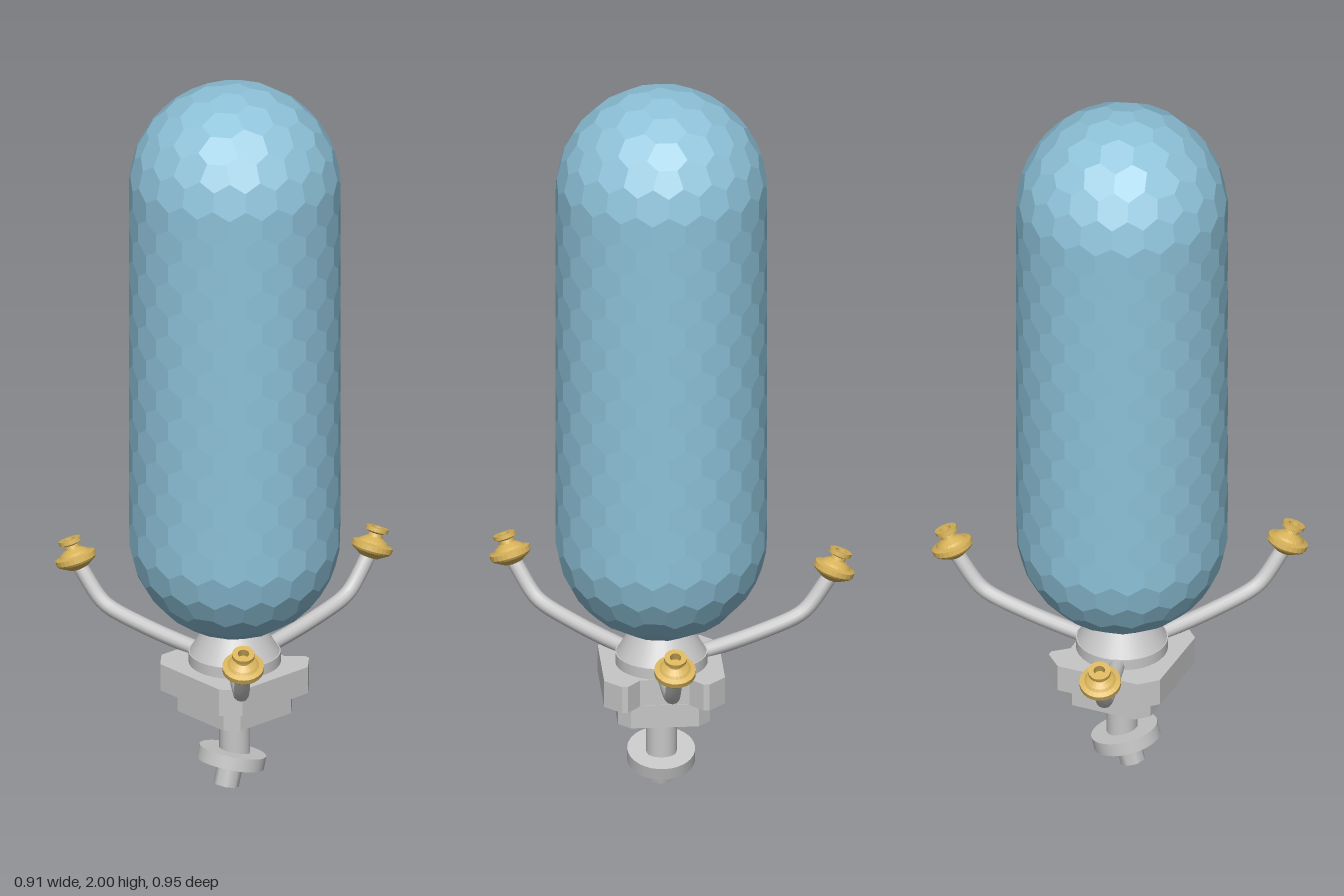
import * as THREE from 'three';

const blue = new THREE.MeshStandardMaterial({ name: 'paleBlue', color: 0x8dc1d8 });
const grey = new THREE.MeshStandardMaterial({ name: 'lightGrey', color: 0xc6c6c6 });
const gold = new THREE.MeshStandardMaterial({ name: 'brass', color: 0xd8b35a });

function add(parent, name, geometry, material, x = 0, y = 0, z = 0) {
  const mesh = new THREE.Mesh(geometry, material);
  mesh.name = name;
  mesh.position.set(x, y, z);
  parent.add(mesh);
  return mesh;
}

// Capsule tiled with flat-shaded hexagons: rings of cell centres are zipped
// into triangles, whose middles become the corners of the cells.
function honeycombCapsule(radius, low, high, n, rows) {
  const quarter = radius * Math.PI / 2;
  const step = (2 * quarter + high - low) / rows;
  const axisPoint = p => new THREE.Vector3(0, THREE.MathUtils.clamp(p.y, low, high), 0);
  const rings = [], cells = [];
  for (let k = 0; k <= rows; k++) {
    const count = Math.max(1, 5 * Math.min(k, n, rows - k));
    const phase = THREE.MathUtils.clamp(k - n, 0, rows - 2 * n) * 0.5 / (5 * n);
    const s = k * step, rest = rows * step - s;
    let r = radius, y = high - (s - quarter);
    if (s < quarter) {
      r = radius * Math.sin(s / radius);
      y = high + radius * Math.cos(s / radius);
    } else if (rest < quarter) {
      r = radius * Math.sin(rest / radius);
      y = low - radius * Math.cos(rest / radius);
    }
    const ring = { count, phase, cells: [] };
    for (let j = 0; j < count; j++) {
      const a = (j / count + phase) * Math.PI * 2;
      const cell = { p: new THREE.Vector3(r * Math.cos(a), y, r * Math.sin(a)), corners: [] };
      ring.cells.push(cell);
      cells.push(cell);
    }
    rings.push(ring);
  }
  for (let k = 0; k < rows; k++) {
    const a = rings[k], b = rings[k + 1];
    const na = a.count > 1 ? a.count : 0, nb = b.count > 1 ? b.count : 0;
    const at = (ring, j) => ring.cells[j % ring.count];
    let i = 0, j = 0;
    while (i < na || j < nb) {
      const midA = i < na ? (i + 0.5) / a.count + a.phase : Infinity;
      const midB = j < nb ? (j + 0.5) / b.count + b.phase : Infinity;
      const tri = [at(a, i), at(b, j)];
      tri.push(midA < midB ? at(a, ++i) : at(b, ++j));
      const c = new THREE.Vector3();
      tri.forEach(t => c.addScaledVector(t.p, 1 / 3));
      const base = axisPoint(c);
      c.sub(base).setLength(radius).add(base);
      tri.forEach(t => t.corners.push(c));
    }
  }
  const positions = [], normals = [];
  for (const { p, corners } of cells) {
    const normal = p.clone().sub(axisPoint(p)).normalize();
    const u = new THREE.Vector3(0.31, 0.53, 0.79).cross(normal).normalize();
    const v = normal.clone().cross(u);
    const angle = c => { const d = c.clone().sub(p); return Math.atan2(d.dot(v), d.dot(u)); };
    corners.sort((c, d) => angle(c) - angle(d));
    for (let i = 1; i < corners.length - 1; i++) {
      for (const c of [corners[0], corners[i], corners[i + 1]]) {
        positions.push(c.x, c.y, c.z);
        normals.push(normal.x, normal.y, normal.z);
      }
    }
  }
  const g = new THREE.BufferGeometry();
  g.setAttribute('position', new THREE.Float32BufferAttribute(positions, 3));
  g.setAttribute('normal', new THREE.Float32BufferAttribute(normals, 3));
  return g;
}

// Square slab with cut corners and an optional notch on its +x side
function slab(half, flat, height, notch) {
  const pts = [[half, flat], [flat, half], [-flat, half], [-half, flat],
    [-half, -flat], [-flat, -half], [flat, -half], [half, -flat]];
  if (notch) pts.push([half, -0.1], [half - 0.04, -0.065], [half - 0.04, 0.065], [half, 0.1]);
  const shape = new THREE.Shape(pts.map(([x, y]) => new THREE.Vector2(x, y)));
  return new THREE.ExtrudeGeometry(shape, { depth: height, bevelEnabled: false }).rotateX(-Math.PI / 2);
}

// Turned nozzle with a wide flange, a waist and a hollow lip
function nozzleGeometry() {
  const profile = [[0, -0.03], [0.024, -0.03], [0.05, -0.014], [0.055, -0.008], [0.055, 0.006],
    [0.042, 0.01], [0.036, 0.016], [0.02, 0.026], [0.018, 0.036], [0.03, 0.041],
    [0.03, 0.052], [0.015, 0.052], [0.015, 0.03], [0, 0.03]];
  const g = new THREE.LatheGeometry(profile.map(([x, y]) => new THREE.Vector2(x, y)), 24).toNonIndexed();
  g.computeVertexNormals();
  return g;
}

export function createModel() {
  const root = new THREE.Group();
  root.name = 'tankWithNozzles';
  const body = new THREE.Group();
  body.name = 'body';
  body.position.set(-0.095, 0, 0.045);
  root.add(body);

  add(body, 'tank', honeycombCapsule(0.28, 0.72, 1.72, 4, 25), blue);

  // Collar and mounting blocks
  add(body, 'collarCone', new THREE.CylinderGeometry(0.075, 0.122, 0.08, 32), grey, 0, 0.42, 0);
  add(body, 'collarRing', new THREE.CylinderGeometry(0.122, 0.122, 0.04, 32), grey, 0, 0.365, 0);
  add(body, 'upperBlock', slab(0.16, 0.116, 0.075, true), grey, 0, 0.28, 0);
  add(body, 'lowerBlock', slab(0.122, 0.09, 0.065, false), grey, 0, 0.218, 0);

  // Stem with a tilted foot
  add(body, 'stem', new THREE.CylinderGeometry(0.041, 0.041, 0.13, 24), grey, 0, 0.16, 0);
  const foot = new THREE.Group();
  foot.name = 'foot';
  foot.position.set(0, 0.125, 0);
  foot.rotation.z = -0.26;
  body.add(foot);
  add(foot, 'footDisc', new THREE.CylinderGeometry(0.09, 0.09, 0.036, 32), grey, 0, -0.042, 0);
  add(foot, 'footPin', new THREE.CylinderGeometry(0.034, 0.034, 0.07, 8), grey, 0, -0.085, 0);

  // Three bent arms, each ending in an outward-tilted nozzle
  const path = new THREE.CatmullRomCurve3([[0.08, 0.36], [0.15, 0.37], [0.27, 0.393], [0.385, 0.425],
    [0.415, 0.445], [0.478, 0.525]].map(([r, y]) => new THREE.Vector3(r, y, 0)));
  const armGeometry = new THREE.TubeGeometry(path, 24, 0.021, 12);
  const nozzle = nozzleGeometry();
  for (const degrees of [0, 129.5, -107]) {
    const arm = new THREE.Group();
    arm.name = 'arm';
    arm.rotation.y = -THREE.MathUtils.degToRad(degrees);
    body.add(arm);
    add(arm, 'armTube', armGeometry, grey);
    add(arm, 'nozzle', nozzle, gold, 0.49, 0.545, 0).rotation.z = -0.38;
  }
  return root;
}
